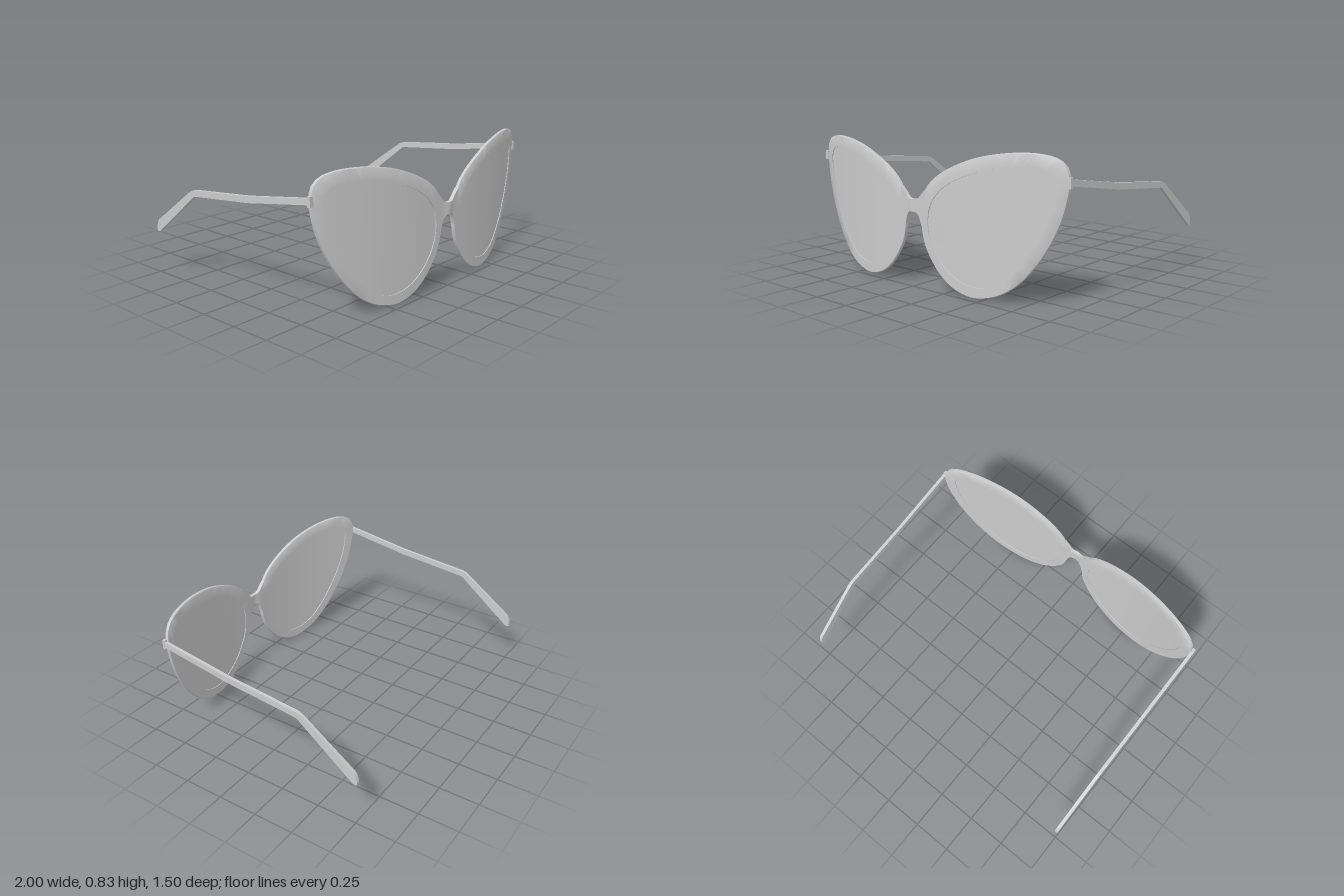
import * as THREE from 'three';
import { toCreasedNormals } from 'three/addons/utils/BufferGeometryUtils.js';

const THICK = 0.024;
const material = new THREE.MeshStandardMaterial({ color: 0xcccccc });

// Face wrap: depth of the front surface at x, with a small bump at the bridge
const frontZ = (x) => 0.737 - 0.17 * x * x + 0.01 * Math.exp(-((x / 0.035) ** 2));

// Outlines of one eye, starting at the inner side and going over the top
const rimOutline = [
  [0.062, 0.43], [0.073, 0.53], [0.10, 0.59], [0.15, 0.645], [0.25, 0.71], [0.43, 0.785],
  [0.58, 0.82], [0.72, 0.835], [0.83, 0.833], [0.92, 0.812], [0.967, 0.77], [0.984, 0.70],
  [0.97, 0.59], [0.94, 0.48], [0.88, 0.345], [0.80, 0.22], [0.70, 0.11], [0.60, 0.043],
  [0.50, 0.011], [0.42, 0.004], [0.32, 0.028], [0.23, 0.08], [0.15, 0.165], [0.092, 0.26],
  [0.068, 0.35],
];
const lensOutline = [
  [0.116, 0.42], [0.128, 0.485], [0.165, 0.545], [0.22, 0.60], [0.32, 0.66], [0.47, 0.715],
  [0.62, 0.75], [0.74, 0.765], [0.82, 0.763], [0.88, 0.74], [0.908, 0.70], [0.91, 0.64],
  [0.885, 0.52], [0.84, 0.41], [0.77, 0.29], [0.68, 0.18], [0.58, 0.10], [0.48, 0.068],
  [0.42, 0.068], [0.34, 0.088], [0.25, 0.14], [0.175, 0.22], [0.13, 0.305], [0.117, 0.36],
];

function sample(points, count) {
  const curve = new THREE.CatmullRomCurve3(
    points.map(([x, y]) => new THREE.Vector3(x, y, 0)), true, 'centripetal');
  return curve.getSpacedPoints(count);
}

// Skin a list of equal-length cross-sections
function loft(sections, flip) {
  const n = sections[0].length;
  const index = [];
  for (let i = 0; i < sections.length - 1; i++) {
    for (let j = 0; j < n - 1; j++) {
      const a = i * n + j, b = a + n;
      if (flip) index.push(a, b, a + 1, b, b + 1, a + 1);
      else index.push(a, a + 1, b, b, a + 1, b + 1);
    }
  }
  const geometry = new THREE.BufferGeometry();
  geometry.setAttribute('position', new THREE.Float32BufferAttribute(sections.flat(2), 3));
  geometry.setIndex(index);
  return toCreasedNormals(geometry, 0.6);
}

function addMesh(group, name, geometry) {
  const mesh = new THREE.Mesh(geometry, material);
  mesh.name = name;
  group.add(mesh);
}

// Point on the wrapped surface, set back by the given depth
const wrap = (x, y, depth) => [x, y, frontZ(x) - depth];

function rimGeometry(side) {
  const outer = sample(rimOutline, 72), inner = sample(lensOutline, 72);
  return loft(outer.map((o, i) => {
    const p = inner[i];
    return [[o, 0.003], [o.clone().lerp(p, 0.06), 0], [p, 0], [p, THICK],
      [o.clone().lerp(p, 0.06), THICK], [o, THICK - 0.003], [o, 0.003]]
      .map(([v, d]) => wrap(side * v.x, v.y, d));
  }), side < 0);
}

function lensGeometry(side) {
  const centre = new THREE.Vector3(0.52, 0.43, 0);
  const steps = [1, 0.8, 0.6, 0.4, 0.2, 0];
  const rows = [...steps.map((t) => [t, 0.005]), ...steps.toReversed().map((t) => [t, THICK - 0.005])];
  return loft(sample(lensOutline, 72).map((p) => rows.map(([t, d]) => {
    const v = centre.clone().lerp(p, t);
    return wrap(side * v.x, v.y, d);
  })), side < 0);
}

function bridgeGeometry() {
  // x, top, bottom
  const half = [[0, 0.523, 0.449], [0.02, 0.523, 0.449], [0.035, 0.527, 0.441],
    [0.048, 0.535, 0.425], [0.057, 0.544, 0.40], [0.066, 0.555, 0.37], [0.10, 0.588, 0.37]];
  const all = [...half.slice(1).reverse().map(([x, t, b]) => [-x, t, b]), ...half];
  return loft(all.map(([x, t, b]) => [
    wrap(x, t, 0), wrap(x, b, 0), wrap(x, b, THICK), wrap(x, t, THICK), wrap(x, t, 0),
  ]), false);
}

// Side profile of a temple arm in (z, y), extruded across x
function templeGeometry(side) {
  const shape = new THREE.Shape();
  shape.moveTo(0.567, 0.712);
  shape.lineTo(0.105, 0.643);
  shape.lineTo(-0.36, 0.597);
  shape.quadraticCurveTo(-0.395, 0.592, -0.425, 0.567);
  shape.lineTo(-0.735, 0.348);
  shape.quadraticCurveTo(-0.755, 0.325, -0.757, 0.28);
  shape.quadraticCurveTo(-0.75, 0.262, -0.725, 0.277);
  shape.lineTo(-0.395, 0.536);
  shape.quadraticCurveTo(-0.375, 0.555, -0.355, 0.559);
  shape.lineTo(0.105, 0.604);
  shape.lineTo(0.567, 0.676);
  shape.closePath();
  const geometry = new THREE.ExtrudeGeometry(shape, { depth: 0.02, bevelEnabled: false, curveSegments: 6 });
  geometry.rotateY(-Math.PI / 2);
  geometry.translate(side > 0 ? 1 : -0.98, 0, 0);
  return toCreasedNormals(geometry, 0.6);
}

export function createModel() {
  const model = new THREE.Group();
  model.name = 'glasses';
  addMesh(model, 'bridge', bridgeGeometry());
  for (const [side, label] of [[1, 'left'], [-1, 'right']]) {
    addMesh(model, label + 'Rim', rimGeometry(side));
    addMesh(model, label + 'Lens', lensGeometry(side));
    addMesh(model, label + 'Temple', templeGeometry(side));
    // Hinge block joining the rim to the temple
    const hinge = new THREE.BoxGeometry(0.025, 0.058, 0.02);
    hinge.translate(side * 0.9875, 0.692, 0.57);
    addMesh(model, label + 'Hinge', hinge);
  }
  return model;
}
